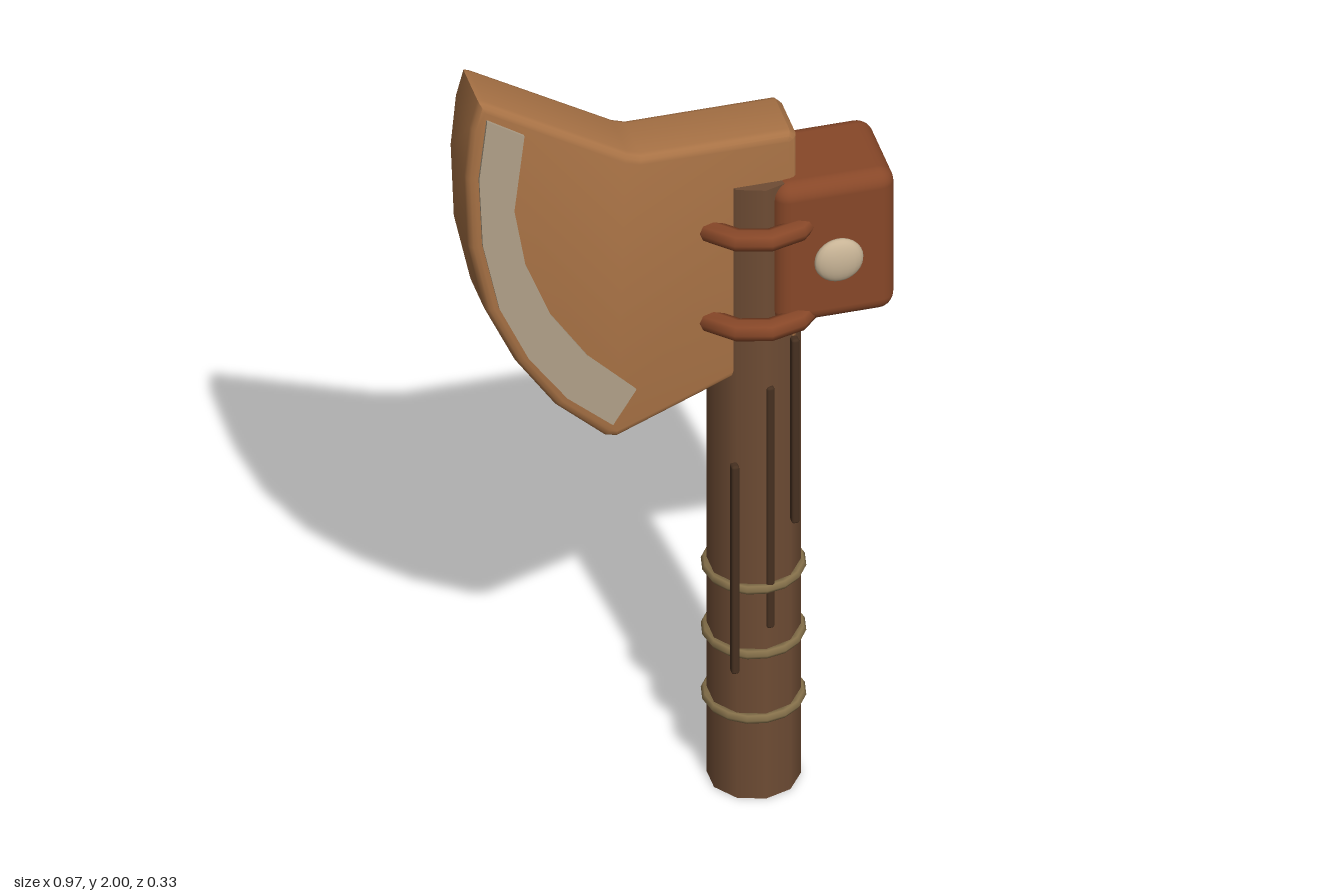
import * as THREE from 'three';
import { toCreasedNormals } from 'three/addons/utils/BufferGeometryUtils.js';
import { RoundedBoxGeometry } from 'three/addons/geometries/RoundedBoxGeometry.js';

const mat = (color) => new THREE.MeshStandardMaterial({ color });
const WOOD = mat(0x6e4c34), BLADE = mat(0xa87245), EDGE = mat(0xb0a088), LEATHER = mat(0x874728);
const CORD = mat(0x85704a), BONE = mat(0xc8b496), GRAIN = mat(0x463020);

const GRIP_X = 0.19;

export function createModel() {
  const model = new THREE.Group();
  const add = (name, geometry, material, x = 0, y = 0, z = 0) => {
    const mesh = new THREE.Mesh(geometry, material);
    mesh.name = name;
    mesh.position.set(x, y, z);
    model.add(mesh);
    return mesh;
  };
  const shapeOf = (points) => new THREE.Shape(points.map(([x, y]) => new THREE.Vector2(x, y)));

  // Ten-sided wooden handle
  add('handle', new THREE.CylinderGeometry(0.104, 0.104, 1.66, 10), WOOD, GRIP_X, 0.83, 0);

  // Thick blade with softened rim
  const outline = shapeOf([
    [-0.455, 2.0], [-0.473, 1.93], [-0.485, 1.8], [-0.478, 1.61], [-0.44, 1.43], [-0.37, 1.275],
    [-0.28, 1.14], [-0.168, 1.035], [-0.14, 1.028], [0.27, 1.2],
    [0.27, 1.77], [0.255, 1.785], [-0.085, 1.785], [-0.115, 1.795], [-0.44, 1.995],
  ]);
  const bladeGeo = new THREE.ExtrudeGeometry(outline, {
    depth: 0.112, bevelThickness: 0.02, bevelSize: 0.02, bevelOffset: -0.02, bevelSegments: 3,
  });
  bladeGeo.translate(0, 0, -0.056);
  add('blade', toCreasedNormals(bladeGeo, 0.6), BLADE);

  // Pale cutting edge, one slab showing on both cheeks
  const edge = shapeOf([
    [-0.44, 1.957], [-0.458, 1.8], [-0.45, 1.62], [-0.412, 1.44], [-0.345, 1.29], [-0.257, 1.165],
    [-0.153, 1.072], [-0.1, 1.158], [-0.21, 1.27], [-0.295, 1.4], [-0.353, 1.55], [-0.378, 1.7],
    [-0.355, 1.9],
  ]);
  const edgeGeo = new THREE.ExtrudeGeometry(edge, { depth: 0.166, bevelEnabled: false });
  edgeGeo.translate(0, 0, -0.083);
  add('cuttingEdge', edgeGeo, EDGE);

  // Rounded block behind the handle and its button
  add('counterweight', new RoundedBoxGeometry(0.277, 0.378, 0.238, 4, 0.038), LEATHER, 0.3465, 1.473, 0);
  const button = add('button', new THREE.SphereGeometry(0.056, 20, 14), BONE, 0.345, 1.47, 0.144);
  button.scale.z = 0.4;

  // Heavy bindings around the blade and handle
  for (const y of [1.305, 1.55]) {
    const binding = add('binding', new THREE.TorusGeometry(0.138, 0.026, 8, 12), LEATHER, GRIP_X, y, 0);
    binding.rotation.x = Math.PI / 2;
  }

  // Thin cords around the grip
  for (const y of [0.222, 0.398, 0.575]) {
    const cord = add('gripCord', new THREE.TorusGeometry(0.105, 0.012, 6, 16), CORD, GRIP_X, y, 0);
    cord.rotation.x = Math.PI / 2;
  }

  // Dark grain strips along the front of the handle
  for (const [x, bottom, top] of [[0.12, 0.355, 0.922], [0.2, 0.465, 1.122], [0.257, 0.74, 1.242]]) {
    add('grainStrip', new RoundedBoxGeometry(0.018, top - bottom, 0.022, 2, 0.006), GRAIN,
      x, (top + bottom) / 2, 0.098);
  }

  model.position.z = -0.004;
  return model;
}
